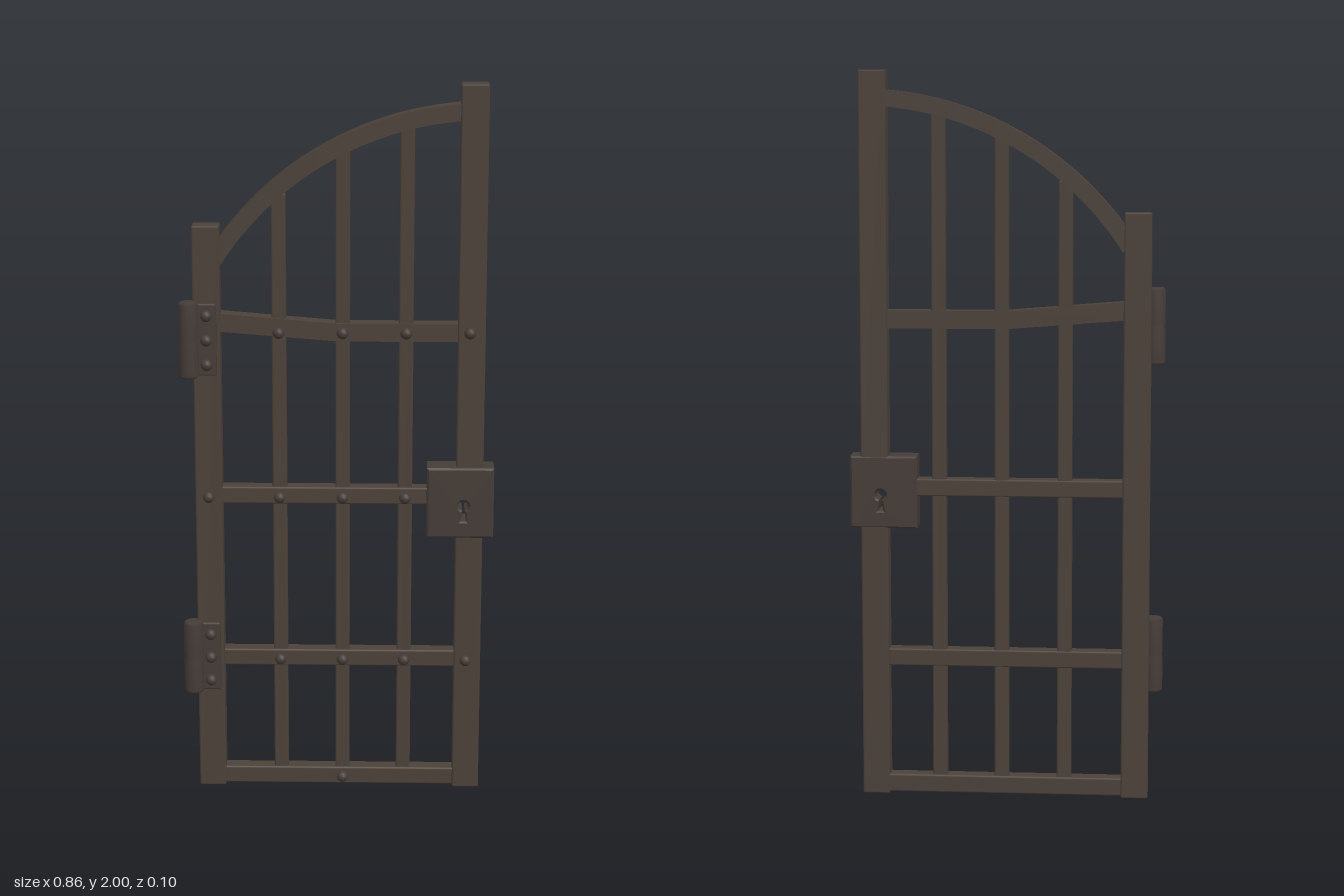
import * as THREE from 'three';
import { RoundedBoxGeometry } from 'three/addons/geometries/RoundedBoxGeometry.js';

const iron = new THREE.MeshStandardMaterial({ color: 0x4b4139 });
iron.name = 'dark iron';
const fitting = new THREE.MeshStandardMaterial({ color: 0x453c37 });
fitting.name = 'fitting iron';

export function createModel() {
  const gate = new THREE.Group();
  gate.name = 'gate';

  const add = (name, geometry, material, parent = gate) => {
    const mesh = new THREE.Mesh(geometry, material);
    mesh.name = name;
    parent.add(mesh);
    return mesh;
  };

  // Bar with slightly worn edges, given by its limits on each axis
  const bar = (name, x0, x1, y0, y1, z0, z1, material = iron, parent = gate) => {
    const g = new RoundedBoxGeometry(x1 - x0, y1 - y0, z1 - z0, 1, 0.005);
    g.translate((x0 + x1) / 2, (y0 + y1) / 2, (z0 + z1) / 2);
    return add(name, g, material, parent);
  };

  const rivet = (x, y, z, parent = gate) => {
    const m = add('rivet', new THREE.SphereGeometry(0.016, 10, 8), fitting, parent);
    m.position.set(x, y, z);
  };

  // Posts; the tall one is interrupted by the lock so the keyhole goes through
  bar('hingePost', -0.393, -0.318, 0, 1.62, -0.05, 0.01);
  bar('lockPostLower', 0.325, 0.4, 0, 0.78, -0.05, 0.01);
  bar('lockPostUpper', 0.325, 0.4, 0.92, 2, -0.05, 0.01);

  // Curved top rail
  const cx = 0.4, cy = 1.057, inner = 0.848, outer = 0.893;
  const a0 = THREE.MathUtils.degToRad(94), a1 = THREE.MathUtils.degToRad(147.5);
  const arch = new THREE.Shape();
  arch.absarc(cx, cy, outer, a0, a1, false);
  arch.absarc(cx, cy, inner, a1, a0, true);
  const archGeometry = new THREE.ExtrudeGeometry(arch, { depth: 0.05, bevelEnabled: false, curveSegments: 16 });
  archGeometry.translate(0, 0, -0.048);
  add('archRail', archGeometry, iron);

  // Upright bars reach up into the arch
  const uprights = [-0.16, 0.013, 0.185];
  for (const x of uprights) {
    const top = cy + Math.sqrt(inner ** 2 - (x - cx) ** 2) + 0.012;
    bar('uprightBar', x - 0.02, x + 0.02, 0.02, top, -0.04, -0.004);
  }

  // Cross bars, the top one bent up towards the hinge post
  bar('bottomRail', -0.33, 0.335, 0.005, 0.055, -0.045, 0.002);
  bar('lowerCrossBar', -0.33, 0.335, 0.365, 0.413, -0.042, 0.004);
  bar('middleCrossBar', -0.33, 0.26, 0.842, 0.89, -0.042, 0.004);
  const bent = new THREE.Shape();
  [[-0.33, 1.33], [0, 1.304], [0.335, 1.304], [0.335, 1.353], [0, 1.353], [-0.33, 1.38]]
    .forEach(([x, y], i) => (i ? bent.lineTo(x, y) : bent.moveTo(x, y)));
  const bentGeometry = new THREE.ExtrudeGeometry(bent, { depth: 0.046, bevelEnabled: false });
  bentGeometry.translate(0, 0, -0.042);
  add('upperCrossBar', bentGeometry, iron);

  // Rivets where the bars cross
  for (const y of [1.33, 0.865, 0.39]) {
    for (const x of uprights) rivet(x, y, 0.018);
  }
  rivet(0.013, 0.03, 0.01);
  rivet(0.357, 1.332, 0.02);
  rivet(0.357, 0.39, 0.02);
  rivet(-0.355, 0.865, 0.02);

  // Hinges: plate, two-part barrel and three rivets
  for (const y of [1.31, 0.397]) {
    const hinge = new THREE.Group();
    hinge.name = 'hinge';
    gate.add(hinge);
    bar('hingePlate', -0.4, -0.328, y - 0.1, y + 0.1, 0, 0.022, fitting, hinge);
    const profile = [[0, -0.105], [0.022, -0.105], [0.028, -0.098], [0.028, -0.006], [0.025, 0],
      [0.028, 0.006], [0.028, 0.098], [0.022, 0.105], [0, 0.105]].map(([r, h]) => new THREE.Vector2(r, h));
    const barrelGeometry = new THREE.LatheGeometry(profile, 14);
    add('hingeBarrel', barrelGeometry, fitting, hinge).position.set(-0.403, y, 0.018);
    for (const d of [-0.068, 0, 0.068]) rivet(-0.355, y + d, 0.027, hinge);
  }

  // Lock case with a keyhole through it
  const b = 0.005;
  const lock = new THREE.Shape();
  lock.moveTo(0.245 + b, 0.753 + b);
  lock.lineTo(0.429 - b, 0.753 + b);
  lock.lineTo(0.429 - b, 0.953 - b);
  lock.lineTo(0.245 + b, 0.953 - b);
  lock.closePath();
  const keyhole = new THREE.Path();
  keyhole.absarc(0.346, 0.845, 0.019, -Math.PI * 0.35, Math.PI * 1.35, false);
  keyhole.lineTo(0.333, 0.796);
  keyhole.lineTo(0.359, 0.796);
  keyhole.closePath();
  lock.holes.push(keyhole);
  const lockGeometry = new THREE.ExtrudeGeometry(lock, {
    depth: 0.068, bevelEnabled: true, bevelSize: b, bevelThickness: b, bevelSegments: 1, curveSegments: 10,
  });
  lockGeometry.translate(0, 0, -0.047);
  add('lockCase', lockGeometry, fitting);

  return gate;
}
